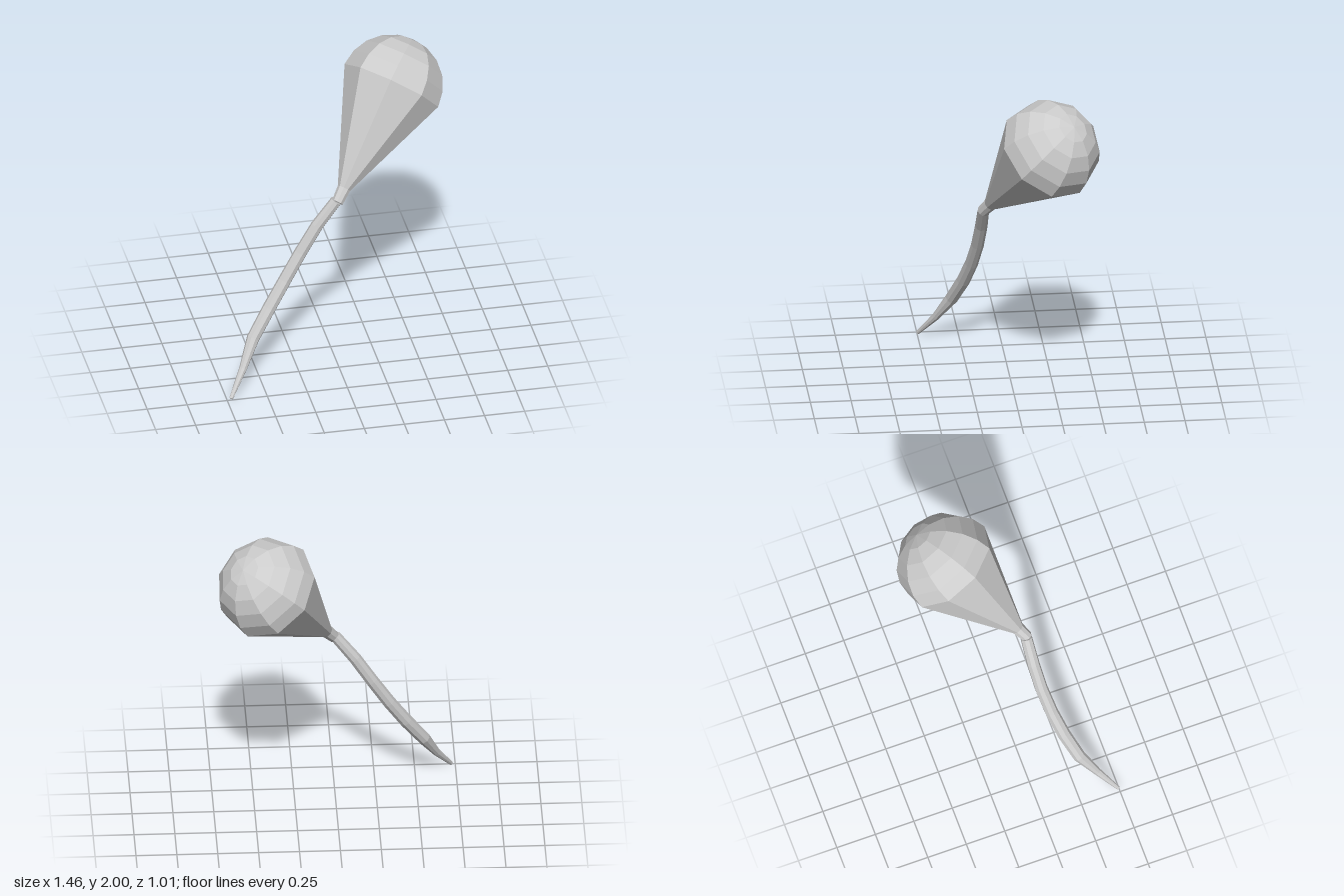
import * as THREE from 'three';

const SIDES = 9;
const material = new THREE.MeshStandardMaterial({ color: 0xcccccc, flatShading: true });

// Closed faceted tube through rows of [x, y, z, radius]
function taperedTube(rows) {
  const pts = rows.map(([x, y, z]) => new THREE.Vector3(x, y, z));
  const positions = [], indices = [];
  const last = rows.length - 1;
  rows.forEach((row, i) => {
    const t = pts[Math.min(i + 1, last)].clone().sub(pts[Math.max(i - 1, 0)]).normalize();
    const n = new THREE.Vector3(0, 0, 1).addScaledVector(t, -t.z).normalize();
    const b = t.clone().cross(n);
    for (let j = 0; j < SIDES; j++) {
      const a = (j / SIDES) * Math.PI * 2;
      const p = pts[i].clone()
        .addScaledVector(n, Math.cos(a) * row[3])
        .addScaledVector(b, Math.sin(a) * row[3]);
      positions.push(p.x, p.y, p.z);
    }
  });
  for (let i = 0; i < last; i++) {
    for (let j = 0; j < SIDES; j++) {
      const k = (j + 1) % SIDES, lo = i * SIDES, hi = lo + SIDES;
      indices.push(lo + j, lo + k, hi + k, lo + j, hi + k, hi + j);
    }
  }
  // End caps
  const top = last * SIDES;
  for (let j = 1; j < SIDES - 1; j++) {
    indices.push(0, j + 1, j, top, top + j, top + j + 1);
  }
  const geometry = new THREE.BufferGeometry();
  geometry.setAttribute('position', new THREE.Float32BufferAttribute(positions, 3));
  geometry.setIndex(indices);
  geometry.computeVertexNormals();
  return geometry;
}

function addPart(parent, name, geometry) {
  const mesh = new THREE.Mesh(geometry, material);
  mesh.name = name;
  parent.add(mesh);
}

export function createModel() {
  const group = new THREE.Group();

  // Curved handle, tapering to a point at the foot
  addPart(group, 'handle', taperedTube([
    [-0.725, 0.008, 0.495, 0.012],
    [-0.63, 0.15, 0.395, 0.024],
    [-0.548, 0.305, 0.305, 0.04],
    [-0.435, 0.47, 0.245, 0.042],
    [-0.33, 0.63, 0.205, 0.041],
    [-0.225, 0.8, 0.178, 0.04],
    [-0.12, 0.97, 0.165, 0.039],
    [0, 1.13, 0.163, 0.036],
  ]));

  // Head: its origin is the centre of the dome's rim, local +y its axis
  const head = new THREE.Group();
  head.name = 'head';
  const axis = new THREE.Vector3(0.526, 0.717, -0.458).normalize();
  const corner = new THREE.Vector3(0.13, 0.085, 0.28);
  corner.addScaledVector(axis, -corner.dot(axis)).normalize();
  head.quaternion.setFromRotationMatrix(
    new THREE.Matrix4().makeBasis(axis.clone().cross(corner), axis, corner));
  head.position.set(0.42, 1.685, -0.19);
  group.add(head);

  const R = 0.32;
  const lathe = (points) => new THREE.LatheGeometry(
    points.map(([r, y]) => new THREE.Vector2(r, y)), SIDES);

  // Collar joining the handle to the cone
  addPart(head, 'collar', lathe([[0, -0.785], [0.036, -0.785], [0.042, -0.69]]));
  addPart(head, 'cone', lathe([[0.042, -0.69], [R, 0]]));

  // Hemispherical dome
  const dome = [];
  for (let i = 0; i <= 5; i++) {
    const a = (i / 5) * Math.PI / 2;
    dome.push([i === 5 ? 0 : R * Math.cos(a), R * Math.sin(a)]);
  }
  addPart(head, 'dome', lathe(dome));

  return group;
}
